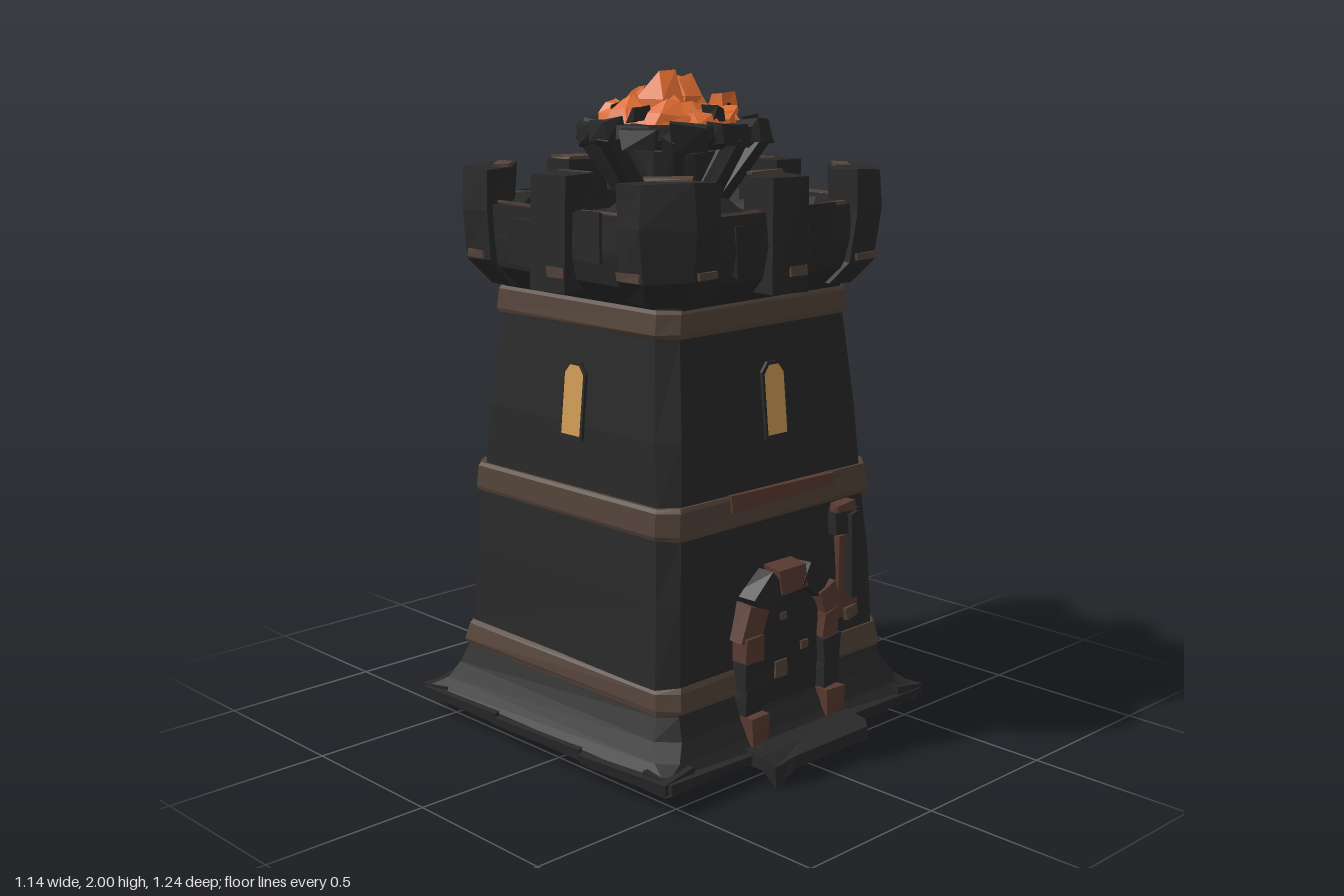
import * as THREE from 'three';

const mat = (name, color) => {
  const m = new THREE.MeshStandardMaterial({ color, flatShading: true, side: THREE.DoubleSide });
  m.name = name;
  return m;
};

export function createModel() {
  const stone = mat('dark stone', 0x292929);
  const brown = mat('brown stone', 0x54443a);
  const rust = mat('rusty brown', 0x593a31);
  const amber = mat('window glow', 0xcf9c56);
  const fire = mat('ember orange', 0xdd6c30);
  const root = new THREE.Group();
  root.name = 'watchtower';
  const tower = new THREE.Group();
  tower.name = 'tower';
  tower.position.z = -0.035;
  root.add(tower);

  let seed = 7;
  const rnd = () => ((seed = (seed * 16807) % 2147483647) / 2147483647) * 2 - 1;

  const add = (parent, name, geo, m, x = 0, y = 0, z = 0) => {
    const mesh = new THREE.Mesh(geo, m);
    mesh.name = name;
    mesh.position.set(x, y, z);
    parent.add(mesh);
    return mesh;
  };

  // Skin a stack of equal-length rings, with end caps and roughness
  const loft = (rings, rough = 0) => {
    const r = rings.map(ring => ring.map(p => new THREE.Vector3(p[0] + rnd() * rough, p[1] + rnd() * rough, p[2] + rnd() * rough)));
    const v = [], tri = (...p) => p.forEach(q => v.push(q.x, q.y, q.z));
    const n = r[0].length, last = r.length - 1;
    const mid = ring => ring.reduce((s, p) => s.add(p), new THREE.Vector3()).divideScalar(n);
    for (let i = 0; i < n; i++) {
      const j = (i + 1) % n;
      for (let k = 0; k < last; k++) {
        tri(r[k][i], r[k + 1][i], r[k][j]);
        tri(r[k][j], r[k + 1][i], r[k + 1][j]);
      }
      tri(mid(r[0]), r[0][i], r[0][j]);
      tri(mid(r[last]), r[last][j], r[last][i]);
    }
    const g = new THREE.BufferGeometry();
    g.setAttribute('position', new THREE.Float32BufferAttribute(v, 3));
    g.computeVertexNormals();
    return g;
  };
  // Square ring with cut corners
  const ring = (h, c, y) => [[h, y, -h + c], [h, y, h - c], [h - c, y, h], [-h + c, y, h],
    [-h, y, h - c], [-h, y, -h + c], [-h + c, y, -h], [h - c, y, -h]];
  // Rough four-sided block
  const block = (w, h, d, rough = 0.006) => loft([-h / 2, h / 2].map(y =>
    [[1, -1], [1, 1], [-1, 1], [-1, -1]].map(([a, b]) => [a * w / 2, y, b * d / 2])), rough);

  // Wall profile: height, half width
  const profile = [[0.05, 0.55], [0.085, 0.545], [0.12, 0.52], [0.17, 0.492], [0.23, 0.472], [0.31, 0.462], [0.55, 0.45],
    [0.73, 0.433], [0.82, 0.428], [1.0, 0.414], [1.28, 0.386], [1.37, 0.38]];
  const wall = y => {
    const i = Math.max(1, profile.findIndex(p => p[0] >= y));
    const [a, b] = [profile[i - 1], profile[i]];
    return a[1] + (b[1] - a[1]) * (y - a[0]) / (b[0] - a[0]);
  };
  add(tower, 'walls', loft(profile.map(([y, h]) => ring(h, y < 0.1 ? 0.01 : 0.05, y)), 0.004), stone);

  // Brown bands around the walls
  for (const [y0, y1, t] of [[0.235, 0.31, 0.009], [0.73, 0.82, 0.015], [1.285, 1.365, 0.011]]) {
    add(tower, 'band', loft([ring(wall(y0) + t - 0.004, 0.05, y0), ring(wall(y0) + t, 0.05, y0 + 0.015),
      ring(wall(y1) + t, 0.05, y1 - 0.012), ring(wall(y1) + t - 0.006, 0.05, y1)], 0.003), brown);
  }
  add(tower, 'rustyBandStone', block(0.44, 0.045, 0.02, 0.004), rust, 0.02, 0.8, 0.441);

  // Parapet: flared collar, hollow top and inner floor
  add(tower, 'parapet', loft([ring(0.38, 0.06, 1.36), ring(0.445, 0.09, 1.43), ring(0.46, 0.12, 1.52),
    ring(0.455, 0.12, 1.62), ring(0.375, 0.14, 1.62), ring(0.365, 0.14, 1.56)], 0.005), stone);

  const corner = [[0.48, 0.28], [0.485, 0.38], [0.38, 0.485], [0.28, 0.48], [0.285, 0.38], [0.38, 0.285]];
  const cornerRing = (s, y) => corner.map(([x, z]) => [x * s, y, z * s]);
  const slit = (w, h) => {
    const s = new THREE.Shape();
    s.moveTo(-w, -h); s.lineTo(w, -h); s.lineTo(w, h * 0.75);
    s.lineTo(w * 0.5, h); s.lineTo(-w * 0.5, h); s.lineTo(-w, h * 0.75);
    return s;
  };

  // Each of the four sides: merlons, window and paving
  const windowX = [0.015, -0.018, 0, 0.018];
  for (let k = 0; k < 4; k++) {
    const side = new THREE.Group();
    side.name = 'towerSide';
    side.rotation.y = k * Math.PI / 2;
    tower.add(side);
    add(side, 'cornerMerlon', loft([cornerRing(0.87, 1.38), cornerRing(0.98, 1.45), cornerRing(1.01, 1.6),
      cornerRing(1, 1.72)], 0.006), stone);
    add(side, 'cornerChip', block(0.13, 0.008, 0.045, 0.003), brown, 0.355, 1.724, 0.355).rotation.y = 0.78;
    add(side, 'cornerFootChip', block(0.09, 0.022, 0.008, 0.002), brown, 0.33, 1.465, 0.481);
    add(side, 'cornerSideChip', block(0.008, 0.022, 0.07, 0.002), brown, 0.482, 1.47, 0.33);
    add(side, 'middleMerlon', block(0.15, 0.33, 0.11), stone, 0, 1.555, 0.428);
    if (k === 2) add(side, 'merlonChip', block(0.14, 0.008, 0.09, 0.003), brown, 0, 1.724, 0.43);
    else add(side, 'merlonChip', block(0.13, 0.008, 0.018, 0.002), brown, 0, 1.724, 0.38);
    add(side, 'merlonFootChip', block(0.07, 0.03, 0.008, 0.002), brown, 0.03, 1.45, 0.484);
    for (const s of [-1, 1]) {
      add(side, 'parapetStone', block(0.1, 0.14, 0.015), stone, s * 0.15, 1.54 + s * 0.02, 0.458);
      add(side, 'rimEdge', block(0.17, 0.008, 0.016, 0.003), brown, s * 0.18, 1.624, 0.445);
    }
    if (k === 2) add(side, 'rimChip', block(0.12, 0.008, 0.05, 0.003), brown, -0.18, 1.627, 0.415);

    const win = new THREE.Group();
    win.name = 'window';
    win.position.set(windowX[k], 1.07, wall(1.07) + 0.001);
    win.rotation.x = -0.1;
    side.add(win);
    const frame = slit(0.05, 0.112);
    frame.holes.push(slit(0.041, 0.102));
    add(win, 'windowFrame', new THREE.ExtrudeGeometry(frame, { depth: 0.01, bevelEnabled: false }), stone);
    add(win, 'windowPane', new THREE.ExtrudeGeometry(slit(0.042, 0.104), { depth: 0.008, bevelEnabled: false }), amber);

    // Uneven, slightly turned paving around the foot
    for (const [x, w] of [[-0.37, 0.36], [0, 0.38], [0.37, 0.36]]) {
      const slab = add(side, 'pavingSlab', block(w, 0.03, 0.12, 0.006), stone, x, 0.078, k === 2 ? 0.515 : 0.5);
      slab.rotation.set(0.15, k === 2 ? 0.05 : 0.03, rnd() * 0.04);
    }
  }

  // Front step with one sunken corner
  const stepEdge = [[0.22, 0.44], [0.22, 0.58], [0.18, 0.62], [-0.14, 0.62], [-0.2, 0.6], [-0.22, 0.56], [-0.22, 0.44]];
  add(root, 'frontStep', loft([stepEdge.map(([x, z], i) => [x, i === 4 ? 0 : 0.05, z]),
    stepEdge.map(([x, z], i) => [x, i === 4 ? 0.06 : z < 0.5 ? 0.11 : 0.085, z - 0.005])]), stone);

  // Arched door with a stone surround
  const door = new THREE.Group();
  door.name = 'door';
  door.position.z = 0.435;
  root.add(door);
  const arch = new THREE.Shape();
  arch.moveTo(-0.14, 0.08); arch.lineTo(0.14, 0.08); arch.lineTo(0.14, 0.38);
  arch.absarc(0, 0.38, 0.14, 0, Math.PI, false);
  add(door, 'doorPanel', new THREE.ExtrudeGeometry(arch, { depth: 0.018, bevelEnabled: false, curveSegments: 6 }), stone);
  for (const [x, y, w, h] of [[-0.03, 0.28, 0.05, 0.05], [0.07, 0.33, 0.03, 0.025], [-0.01, 0.12, 0.05, 0.03], [-0.02, 0.44, 0.025, 0.02]])
    add(door, 'doorPatch', block(w, h, 0.006, 0.002), brown, x, y, 0.02);
  for (const s of [-1, 1]) for (let i = 0; i < 4; i++)
    add(door, 'jambStone', block(0.07, 0.08, 0.09), i % 3 ? stone : rust, s * 0.165, 0.14 + i * 0.08, i < 1 ? 0.025 : 0.002);
  for (let i = 0; i < 5; i++) {
    const a = Math.PI * (i + 0.5) / 5;
    add(door, 'archStone', block(0.075, 0.11, 0.08), i % 2 ? stone : rust,
      Math.cos(a) * 0.17, 0.395 + Math.sin(a) * 0.16, 0).rotation.z = a;
  }

  // Wall bracket beside the door
  const bracket = new THREE.Group();
  bracket.name = 'wallBracket';
  bracket.position.set(0.285, 0, 0.42);
  root.add(bracket);
  add(bracket, 'bracketPlate', block(0.09, 0.26, 0.025), rust, 0.01, 0.49, 0);
  add(bracket, 'bracketPost', block(0.03, 0.26, 0.04), stone, 0.015, 0.56, 0.01);
  add(bracket, 'bracketHead', block(0.11, 0.07, 0.04), stone, 0, 0.66, 0);
  add(bracket, 'bracketCap', block(0.08, 0.025, 0.04), rust, -0.01, 0.71, 0);
  add(bracket, 'bracketFoot', block(0.05, 0.04, 0.03), brown, 0.025, 0.37, 0);

  // Brazier: pedestal, slanted struts, bowl and rim
  const brazier = new THREE.Group();
  brazier.name = 'brazier';
  brazier.position.z = 0.01;
  tower.add(brazier);
  add(brazier, 'pedestal', new THREE.CylinderGeometry(0.15, 0.26, 0.09, 8), stone, 0, 1.585, 0);
  for (let i = 0; i < 8; i++) {
    const a = i * Math.PI / 4;
    const at = (r, y) => new THREE.Vector3(Math.cos(a) * r, y, Math.sin(a) * r);
    const p = at(0.12, 1.61), q = at(0.27, 1.82);
    const strut = add(brazier, 'strut', block(0.045, p.distanceTo(q), 0.045, 0.003), stone);
    strut.position.copy(p).lerp(q, 0.5);
    strut.quaternion.setFromUnitVectors(new THREE.Vector3(0, 1, 0), q.clone().sub(p).normalize());
  }
  const bowl = [[0, 1.78], [0.23, 1.78], [0.265, 1.81], [0.26, 1.85], [0.2, 1.85], [0.18, 1.82], [0, 1.82]];
  add(brazier, 'bowl', new THREE.LatheGeometry(bowl.map(p => new THREE.Vector2(...p)), 12), stone);
  for (let i = 0; i < 12; i++) {
    const a = i * Math.PI / 6 + 0.1;
    const chunk = add(brazier, 'rimStone', block(0.07, 0.065, 0.1, 0.012), stone, Math.cos(a) * 0.25, 1.825 + rnd() * 0.015, Math.sin(a) * 0.25);
    chunk.rotation.y = -a;
  }

  // Embers: a low mound with broad, jagged flames
  const embers = new THREE.Group();
  embers.name = 'embers';
  embers.position.set(0.01, 0, -0.015);
  brazier.add(embers);
  const circle = (r, y, n, dx = 0, dz = 0) => Array.from({ length: n }, (_, i) =>
    [Math.cos(i * 2 * Math.PI / n) * r + dx, y, Math.sin(i * 2 * Math.PI / n) * r + dz]);
  add(embers, 'emberMound', loft([circle(0.195, 1.83, 10), circle(0.175, 1.875, 10), circle(0.09, 1.9, 10)], 0.02), fire);
  const flame = (x, z, r, top) => {
    const lean = rnd() * 0.03, side = rnd() * 0.03;
    add(embers, 'flame', loft([circle(r, 1.84, 5), circle(r * 0.85, (1.84 + top) / 2, 5, lean / 2, side / 2),
      circle(r * 0.35, top, 5, lean, side)], 0.014), fire, x, 0, z);
  };
  flame(-0.06, 0.02, 0.085, 1.99);
  flame(0.11, -0.04, 0.08, 1.975);
  flame(0.02, -0.14, 0.085, 1.94);
  for (let i = 0; i < 8; i++) {
    const a = i * Math.PI / 4 + 0.2;
    flame(Math.cos(a) * 0.155, Math.sin(a) * 0.155, 0.06, 1.905 + rnd() * 0.025);
  }
  for (let i = 0; i < 5; i++) {
    const a = i * 1.25 + 0.4;
    add(embers, 'coal', block(0.05, 0.04, 0.035, 0.008), stone, Math.cos(a) * 0.18, 1.88, Math.sin(a) * 0.18).rotation.y = a;
  }
  return root;
}
